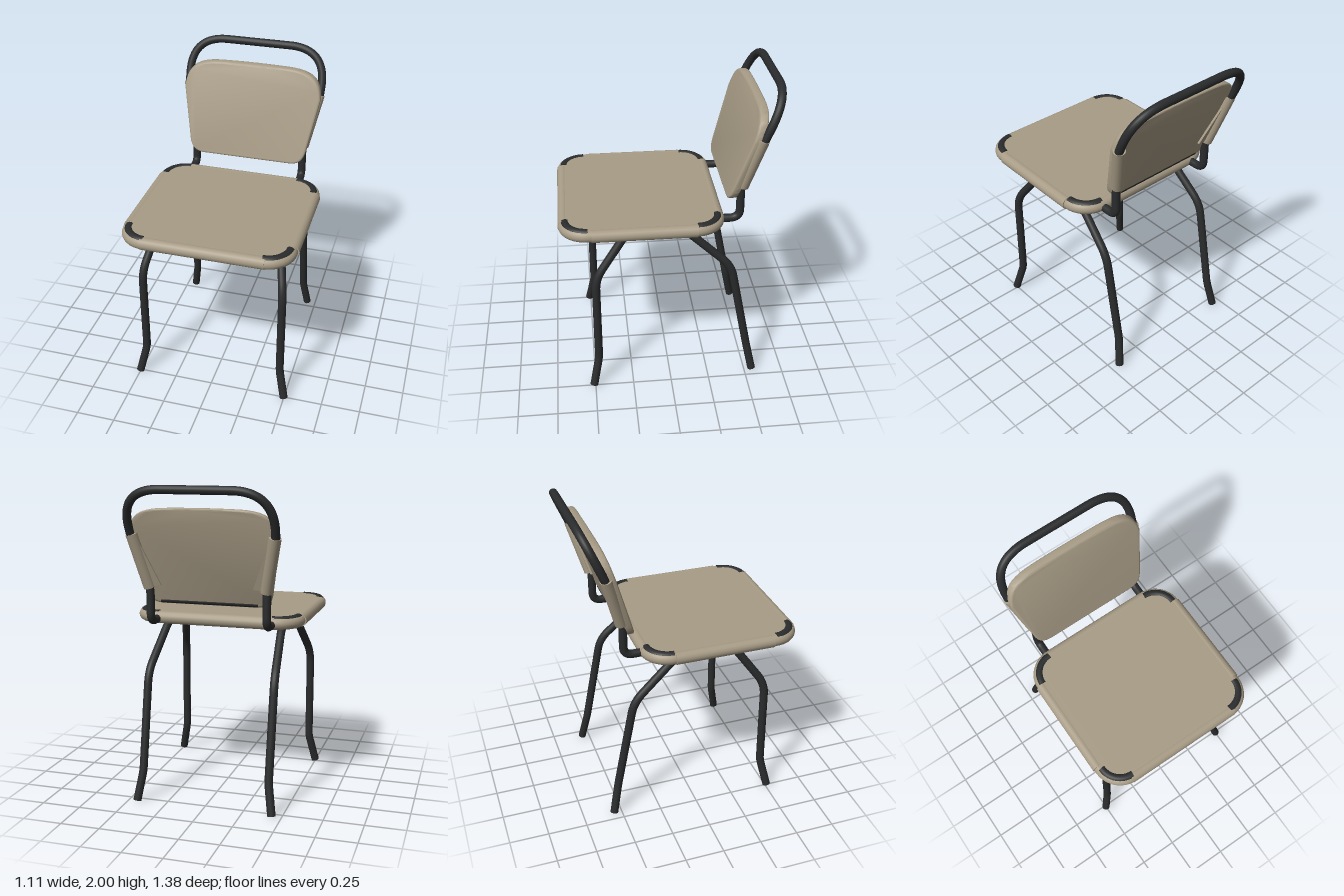
import * as THREE from 'three';
import { toCreasedNormals } from 'three/addons/utils/BufferGeometryUtils.js';

const fabric = new THREE.MeshStandardMaterial({ color: 0xa89c86 });
fabric.name = 'beige fabric';
const steel = new THREE.MeshStandardMaterial({ color: 0x2a2b2c });
steel.name = 'black steel';

const V = (x, y, z) => new THREE.Vector3(x, y, z);

function addMesh(parent, name, geometry, material) {
  const mesh = new THREE.Mesh(geometry, material);
  mesh.name = name;
  parent.add(mesh);
  return mesh;
}

// Straight runs joined by rounded bends; each point is [x, y, z, bendLength]
function bentPath(points) {
  const path = new THREE.CurvePath();
  const p = points.map(([x, y, z]) => V(x, y, z));
  let last = p[0];
  for (let i = 1; i < p.length - 1; i++) {
    const bend = points[i][3];
    const a = p[i].clone().add(p[i - 1].clone().sub(p[i]).setLength(bend));
    const b = p[i].clone().add(p[i + 1].clone().sub(p[i]).setLength(bend));
    path.add(new THREE.LineCurve3(last, a));
    path.add(new THREE.QuadraticBezierCurve3(a, p[i], b));
    last = b;
  }
  path.add(new THREE.LineCurve3(last, p[p.length - 1]));
  return path;
}

// Capped tube
function addTube(parent, name, path, radius, material, segments) {
  const group = new THREE.Group();
  group.name = name;
  addMesh(group, name + 'Tube', new THREE.TubeGeometry(path, segments, radius, 16), material);
  for (const t of [0, 1]) {
    const cap = addMesh(group, name + 'End', new THREE.CircleGeometry(radius, 16), material);
    cap.position.copy(path.getPointAt(t));
    const out = path.getTangentAt(t).multiplyScalar(t ? 1 : -1);
    cap.quaternion.setFromUnitVectors(V(0, 0, 1), out);
  }
  parent.add(group);
}

function roundedRect(x, y0, y1, r) {
  const s = new THREE.Shape();
  s.absarc(x - r, y0 + r, r, -Math.PI / 2, 0);
  s.absarc(x - r, y1 - r, r, 0, Math.PI / 2);
  s.absarc(-x + r, y1 - r, r, Math.PI / 2, Math.PI);
  s.absarc(-x + r, y0 + r, r, Math.PI, Math.PI * 1.5);
  s.closePath();
  return s;
}

// Horizontal plate with its top at the given height
function addPlate(parent, name, shape, top, depth) {
  const geometry = new THREE.ExtrudeGeometry(shape, { depth, bevelEnabled: false, curveSegments: 14 });
  geometry.rotateX(Math.PI / 2).translate(0, top, 0);
  addMesh(parent, name, toCreasedNormals(geometry, 0.6), fabric);
}

// Upright plate that leans back with height
function addLeaning(parent, name, shape, z, options) {
  const geometry = new THREE.ExtrudeGeometry(shape, { curveSegments: 14, ...options });
  geometry.translate(0, 0, z);
  const pos = geometry.attributes.position;
  for (let i = 0; i < pos.count; i++) {
    pos.setZ(i, pos.getZ(i) - (pos.getY(i) - 1.27) * 0.305);
  }
  addMesh(parent, name, toCreasedNormals(geometry, 0.7), fabric);
}

export function createModel() {
  const model = new THREE.Group();
  model.name = 'chair';

  // Seat: fabric panel inside a rolled rim, with hems folded underneath
  const seat = new THREE.Group();
  seat.name = 'seat';
  model.add(seat);
  const rimX = 0.508, rimBack = -0.298, rimFront = 0.645, rimR = 0.14, rimY = 1.155;
  const outline = roundedRect(rimX, rimBack, rimFront, rimR);
  addPlate(seat, 'seatPanel', outline, 1.193, 0.053);
  const hem = roundedRect(rimX, rimBack, rimFront, rimR);
  hem.holes.push(roundedRect(rimX - 0.055, rimBack + 0.055, rimFront - 0.055, 0.1));
  addPlate(seat, 'seatHem', hem, 1.141, 0.023);

  const rimPath = new THREE.CurvePath();
  const loop = outline.getPoints(14).map((q) => V(q.x, rimY, q.y));
  if (loop[0].distanceTo(loop[loop.length - 1]) > 1e-5) loop.push(loop[0].clone());
  for (let i = 1; i < loop.length; i++) {
    if (loop[i].distanceTo(loop[i - 1]) > 1e-5) rimPath.add(new THREE.LineCurve3(loop[i - 1], loop[i]));
  }
  addMesh(seat, 'seatRim', new THREE.TubeGeometry(rimPath, 200, 0.038, 16, true), fabric);

  // Sleeves folded over the straight sides of the seat
  const sleeve = (name, a, b) => addTube(seat, name, new THREE.LineCurve3(a, b), 0.04, fabric, 1);
  for (const s of [-1, 1]) {
    sleeve('sideSleeve', V(s * 0.513, rimY, -0.155), V(s * 0.513, rimY, 0.485));
  }
  sleeve('frontSleeve', V(-0.385, rimY, rimFront), V(0.385, rimY, rimFront));
  sleeve('backSleeve', V(-0.385, rimY, rimBack), V(0.385, rimY, rimBack));

  // Bare frame tube showing at the four seat corners
  for (const sx of [-1, 1]) {
    for (const [cz, sz] of [[rimFront - rimR, 1], [rimBack + rimR, -1]]) {
      const arc = [];
      for (let i = 0; i <= 8; i++) {
        const a = (i / 8) * Math.PI / 2;
        arc.push(V(sx * (rimX - rimR + 0.135 * Math.cos(a)), 1.17, cz + sz * 0.135 * Math.sin(a)));
      }
      addTube(seat, 'seatCornerTube', new THREE.CatmullRomCurve3(arc), 0.03, steel, 16);
    }
  }

  // Legs: one bent tube per side running front foot to back foot
  for (const s of [-1, 1]) {
    addTube(model, s > 0 ? 'leftLegs' : 'rightLegs', bentPath([
      [s * 0.5, 0.008, 0.51],
      [s * 0.458, 0.2, 0.47, 0.03],
      [s * 0.458, 0.81, 0.47, 0.08],
      [s * 0.39, 1.095, 0.265, 0.06],
      [s * 0.38, 1.095, -0.085, 0.07],
      [s * 0.41, 0.82, -0.39, 0.08],
      [s * 0.41, 0.2, -0.51, 0.03],
      [s * 0.44, 0.008, -0.55],
    ]), 0.026, steel, 140);
  }

  // Back frame: posts rise from the seat and join in a wide arch
  const side = (s) => [
    [s * 0.37, 1.15, -0.29],
    [s * 0.37, 1.15, -0.435, 0.06],
    [s * 0.37, 1.38, -0.435, 0.03],
    [s * 0.448, 1.7, -0.547, 0.03],
    [s * 0.457, 1.975, -0.665, 0.245],
  ];
  addTube(model, 'backFrame', bentPath([...side(1), ...side(-1).reverse()]), 0.026, steel, 200);

  // Bar tucked into the lower edge of the backrest
  addTube(model, 'backCrossBar',
    new THREE.LineCurve3(V(-0.31, 1.288, -0.398), V(0.31, 1.288, -0.398)), 0.019, steel, 1);

  // Backrest cushion with rounded outline
  const b = new THREE.Shape();
  b.moveTo(-0.29, 1.281);
  b.lineTo(0.29, 1.281);
  b.bezierCurveTo(0.36, 1.281, 0.38, 1.31, 0.39, 1.38);
  b.lineTo(0.448, 1.69);
  b.bezierCurveTo(0.435, 1.79, 0.405, 1.84, 0.24, 1.848);
  b.quadraticCurveTo(0, 1.856, -0.24, 1.848);
  b.bezierCurveTo(-0.405, 1.84, -0.435, 1.79, -0.448, 1.69);
  b.lineTo(-0.39, 1.38);
  b.bezierCurveTo(-0.38, 1.31, -0.36, 1.281, -0.29, 1.281);
  addLeaning(model, 'backrest', b, -0.396,
    { depth: 0.028, bevelThickness: 0.014, bevelSize: 0.014, bevelSegments: 4 });

  // Backrest sleeves around the posts, each with a tapered flap behind
  for (const s of [-1, 1]) {
    addTube(model, 'backrestSleeve', new THREE.LineCurve3(
      V(s * 0.37, 1.37, -0.444), V(s * 0.442, 1.705, -0.542)), 0.038, fabric, 1);
    const flap = new THREE.Shape([[0.375, 1.375], [0.29, 1.385], [0.415, 1.695], [0.44, 1.7]]
      .map(([x, y]) => new THREE.Vector2(s * x, y)));
    addLeaning(model, 'backrestFlap', flap, -0.425, { depth: 0.02, bevelEnabled: false });
  }

  return model;
}
